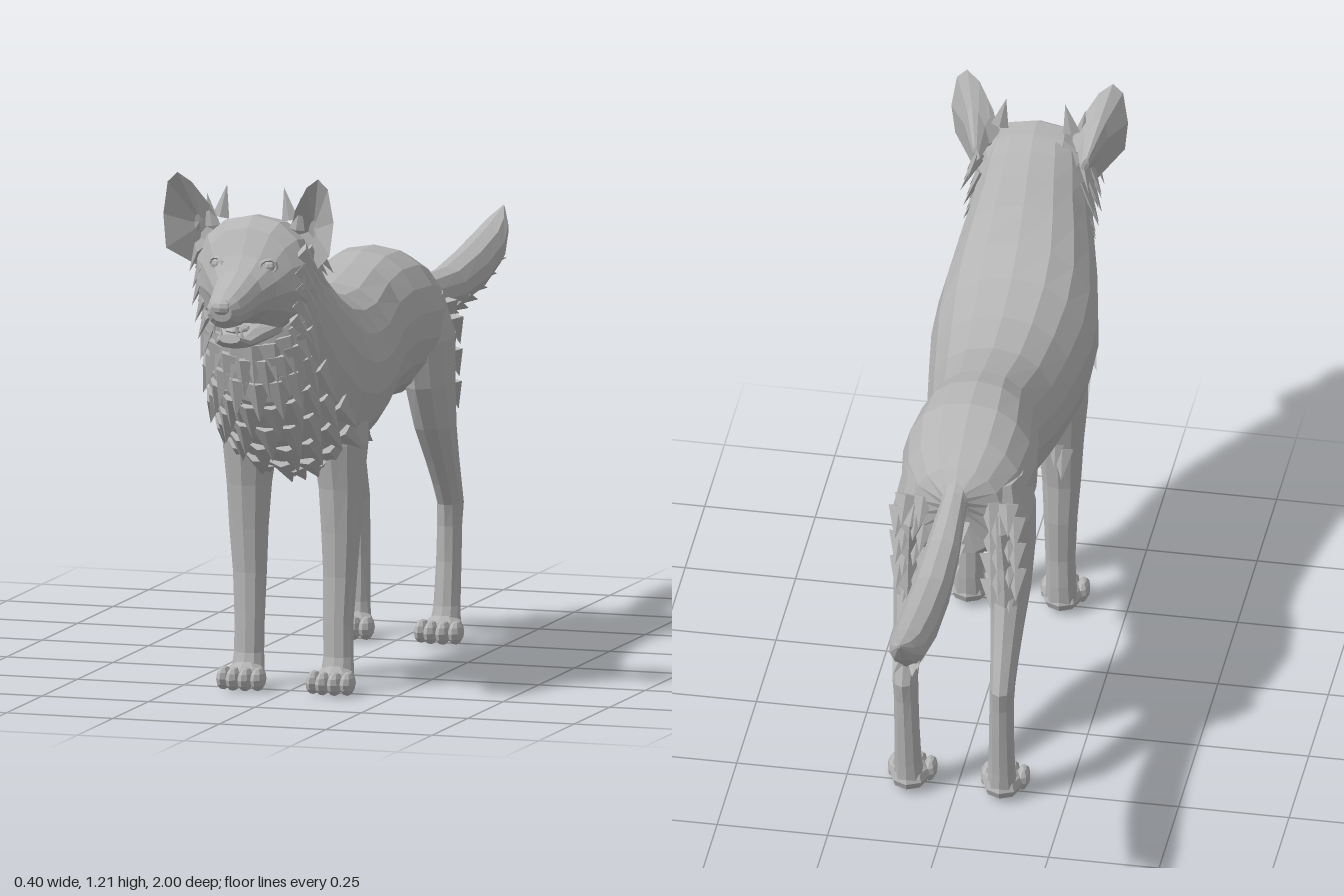
import * as THREE from 'three';
import { mergeGeometries } from 'three/addons/utils/BufferGeometryUtils.js';

const V = (x, y, z) => new THREE.Vector3(x, y, z);

// Faceted copy of a geometry
function facet(g) {
  const f = g.index ? g.toNonIndexed() : g;
  f.deleteAttribute('uv');
  f.computeVertexNormals();
  return f;
}

// Closed skin over a row of rings, always wound outward
function loft(rings) {
  const n = rings[0].length, tris = [];
  const mid = r => r.reduce((s, p) => s.add(p), V(0, 0, 0)).divideScalar(n);
  const first = mid(rings[0]), last = mid(rings.at(-1));
  for (let j = 0; j < n; j++) {
    const k = (j + 1) % n;
    tris.push([first, rings[0][j], rings[0][k]], [last, rings.at(-1)[k], rings.at(-1)[j]]);
    for (let i = 0; i < rings.length - 1; i++) {
      const a = rings[i], b = rings[i + 1];
      tris.push([a[j], b[j], a[k]], [a[k], b[j], b[k]]);
    }
  }
  let volume = 0;
  for (const [a, b, c] of tris) volume += a.clone().sub(first).dot(b.clone().sub(first).cross(c.clone().sub(first)));
  const pts = tris.flatMap(([a, b, c]) => (volume < 0 ? [a, c, b] : [a, b, c]));
  const g = new THREE.BufferGeometry().setFromPoints(pts);
  g.computeVertexNormals();
  return g;
}

// Point on a cross-section [topZ, topY, bottomZ, bottomY, halfWidth]; angle 0 is the top
function sectionPoint([zt, yt, zb, yb, w], a) {
  const s = Math.sin(a), c = Math.cos(a);
  return V(w * Math.sign(s) * Math.abs(s) ** 0.85, (yt + yb) / 2 + c * (yt - yb) / 2, (zt + zb) / 2 + c * (zt - zb) / 2);
}
const ring = (n, f) => Array.from({ length: n }, (_, i) => f(i / n * Math.PI * 2));
const spine = (sections, n) => loft(sections.map(s => ring(n, a => sectionPoint(s, a))));

// Leg from horizontal rings [y, z, halfDepth, x, halfWidth]
const limb = (rows, side) => loft(rows.map(([y, z, d, x, w]) =>
  ring(10, a => V(side * (x + w * Math.sin(a)), y, z + d * Math.cos(a)))));

// Pointed lock of fur lying along dir, with its flat side facing out
function tuft(base, dir, out, length, width) {
  const y = dir.clone().normalize(), x = y.clone().cross(out).normalize(), z = x.clone().cross(y);
  const g = new THREE.ConeGeometry(1, 1, 4, 1).translate(0, 0.4, 0).scale(width, length, width * 0.45);
  return facet(g.applyMatrix4(new THREE.Matrix4().makeBasis(x, y, z).setPosition(base)));
}

const ball = (x, y, z, rx, ry, rz) => facet(new THREE.SphereGeometry(1, 8, 6).scale(rx, ry, rz).translate(x, y, z));

const BODY = [
  [-.30, .81, -.27, .72, .03], [-.25, .85, -.265, .63, .10], [-.18, .888, -.2, .59, .14],
  [-.09, .917, -.1, .575, .153], [0, .918, 0, .58, .14], [.07, .9, .07, .56, .128],
  [.2, .875, .2, .525, .15], [.32, .88, .32, .51, .168], [.44, .905, .42, .50, .183],
  [.52, .945, .53, .505, .183], [.59, 1.0, .64, .58, .165], [.64, 1.05, .72, .68, .145],
  [.68, 1.085, .755, .78, .135], [.71, 1.105, .765, .84, .125],
];
const HEAD = [
  [.66, 1.06, .70, .86, .11], [.72, 1.108, .755, .845, .137], [.765, 1.113, .79, .85, .13],
  [.80, 1.09, .81, .865, .108], [.84, 1.035, .835, .885, .08], [.87, 1.005, .87, .89, .058],
  [.93, .98, .92, .885, .048], [.97, .965, .965, .887, .04], [.992, .95, .985, .905, .025],
];
const JAW = [[.77, .89, .77, .835, .075], [.85, .875, .85, .828, .05], [.9, .862, .9, .832, .042], [.925, .868, .93, .848, .025]];
const TAIL = [
  [-.22, .86, -.24, .74, .032], [-.3, .817, -.31, .745, .03], [-.45, .792, -.46, .71, .04],
  [-.6, .79, -.61, .695, .045], [-.75, .81, -.78, .71, .046], [-.88, .835, -.9, .745, .042],
  [-.95, .853, -.96, .80, .028], [-1, .868, -1, .86, .003],
];
const FRONT_LEG = [
  [.72, .46, .09, .095, .07], [.56, .465, .075, .105, .062], [.46, .465, .056, .108, .05],
  [.36, .468, .042, .108, .044], [.26, .467, .036, .106, .038], [.15, .475, .03, .104, .034],
  [.08, .476, .03, .105, .034], [.03, .485, .036, .105, .038],
];
const HIND_LEG = [
  [.80, -.15, .09, .09, .045], [.70, -.16, .122, .103, .054], [.60, -.163, .108, .108, .05],
  [.50, -.19, .08, .11, .044], [.42, -.237, .062, .11, .036], [.36, -.272, .052, .11, .031],
  [.31, -.298, .045, .11, .028], [.26, -.298, .036, .108, .027], [.18, -.295, .031, .107, .028],
  [.08, -.285, .031, .106, .03], [.03, -.275, .038, .105, .035],
];

// Point on the body skin at a fractional section number
function bodyPoint(t, a) {
  const i = Math.min(Math.floor(t), BODY.length - 2);
  return sectionPoint(BODY[i].map((v, k) => v + (BODY[i + 1][k] - v) * (t - i)), a);
}
function bodyTuft(t, a, length, width, lift) {
  const p = bodyPoint(t, a);
  const out = p.clone().sub(bodyPoint(t, a + Math.PI)).normalize();
  const dir = bodyPoint(t - 0.3, a).sub(p).normalize().addScaledVector(out, lift);
  return tuft(p, dir, out, length, width);
}

export function createModel() {
  const model = new THREE.Group();
  const grey = new THREE.MeshStandardMaterial({ color: 0xb4b4b4 });
  grey.name = 'fur grey';
  const add = (name, ...geos) => {
    const mesh = new THREE.Mesh(geos.length > 1 ? mergeGeometries(geos) : geos[0], grey);
    mesh.name = name;
    model.add(mesh);
  };

  add('body', spine(BODY, 18));
  add('head', spine(HEAD, 14));
  add('lowerJaw', spine(JAW, 10));
  add('tail', spine(TAIL, 10));

  // Nose, tongue and teeth
  add('nose', ball(0, .938, .98, .026, .019, .02));
  add('tongue', ball(0, .872, .87, .026, .008, .045));
  add('teeth', ...[-1, 1].flatMap(s => [
    tuft(V(s * .027, .889, .957), V(0, -1, 0), V(0, 0, 1), .025, .006),
    tuft(V(s * .024, .862, .915), V(0, 1, 0), V(0, 0, 1), .022, .006)]));

  // Staggered locks over the chest, and a shorter fringe under the belly
  const chest = [], belly = [];
  for (let r = 0; r < 7; r++) {
    const n = 7 + r % 2;
    for (let i = 0; i < n; i++)
      chest.push(bodyTuft(12.5 - r * 0.55, Math.PI + (i - (n - 1) / 2) * 0.29, .095, .034, .28));
  }
  for (let r = 0; r < 8; r++)
    for (let i = -1; i <= 1; i++)
      belly.push(bodyTuft(8.9 - r * 0.45, Math.PI + (i + (r % 2) * 0.4 - 0.2) * 0.33, .085, .03, .5));
  add('chestFur', ...chest);
  add('bellyFur', ...belly);

  // Overlapping locks along the underside of the tail
  const fringe = [];
  for (let i = 0; i < 9; i++) {
    const z = -.33 - i * .066, y = .735 - .05 * Math.sin(i / 8 * Math.PI) + i * .003;
    for (const s of [-1, 1])
      fringe.push(tuft(V(s * .014, y + .006, z), V(s * .08, -.32 + i * .03, -1), V(s * .4, -1, 0), .11, .03));
  }
  add('tailFringe', ...fringe);

  for (const s of [1, -1]) {
    const name = s > 0 ? 'left' : 'right';
    add(name + 'FrontLeg', limb(FRONT_LEG, s));
    add(name + 'HindLeg', limb(HIND_LEG, s));

    // Paws with four toes
    for (const [part, z] of [['FrontPaw', .495], ['HindPaw', -.268]])
      add(name + part, ball(s * .105, .032, z, .045, .032, .05),
        ...[-.04, -.014, .014, .04].map(x =>
          ball(s * .105 + x, .027, z + (Math.abs(x) < .02 ? .048 : .036), .016, .027, .034)));

    // Cupped ear: deep front hollow, folded outer rim, bulging back
    const rim = [[.075, 1.06, .735], [.10, 1.13, .765], [.135, 1.185, .79], [.165, 1.207, .80], [.188, 1.185, .80],
      [.2, 1.11, .795], [.192, 1.035, .80], [.14, .99, .74]].map(([x, y, z]) => V(s * x, y, z));
    const toward = (x, y, z, k) => rim.map(p => p.clone().lerp(V(s * x, y, z), k));
    add(name + 'Ear', loft([toward(.13, 1.08, .73, .8), rim, toward(.125, 1.08, .70, .5), toward(.12, 1.06, .66, .85)]));
    add(name + 'EarTufts',
      tuft(V(s * .08, 1.11, .745), V(-s * .2, 1, 0), V(0, 0, 1), .075, .02),
      tuft(V(s * .10, 1.09, .75), V(s * .15, 1, .1), V(0, 0, 1), .075, .018),
      tuft(V(s * .12, 1.05, .69), V(s * .3, -.6, -.8), V(s, 0, 0), .07, .025));

    // Eye with a lid ring
    const lid = new THREE.TorusGeometry(.019, .005, 4, 10).scale(1, .8, 1).rotateY(s * .5).translate(s * .06, 1.01, .837);
    add(name + 'Eye', ball(s * .06, 1.01, .828, .016, .014, .016), facet(lid));

    // Cheek ruff: rows of locks swept out and down
    const cheek = [];
    for (let r = 0; r < 3; r++)
      for (let i = 0; i < 5; i++)
        cheek.push(tuft(V(s * (.128 - .007 * i + (i < 2 ? -.004 : .004)), 1.035 - i * .038, .775 - r * .04),
          V(s * .45, -.85, -.45), V(s, .2, .2), .085, .026));
    add(name + 'CheekFur', ...cheek);

    // Locks down the back of the thigh and behind the elbow
    const thigh = [];
    for (let i = 0; i < 7; i++)
      for (const x of [.075, .115])
        thigh.push(tuft(V(s * (x + (i % 2) * .015), .765 - i * .036, -.262 + i * .003),
          V(s * .1, -1, -.5), V(0, .2, -1), .075, .026));
    add(name + 'ThighFur', ...thigh);
    add(name + 'ElbowFur', ...[0, 1, 2].map(i =>
      tuft(V(s * (.09 + .015 * i), .53 - i * .03, .412), V(0, -1, -.3), V(0, 0, -1), .075, .024)));
  }
  return model;
}
